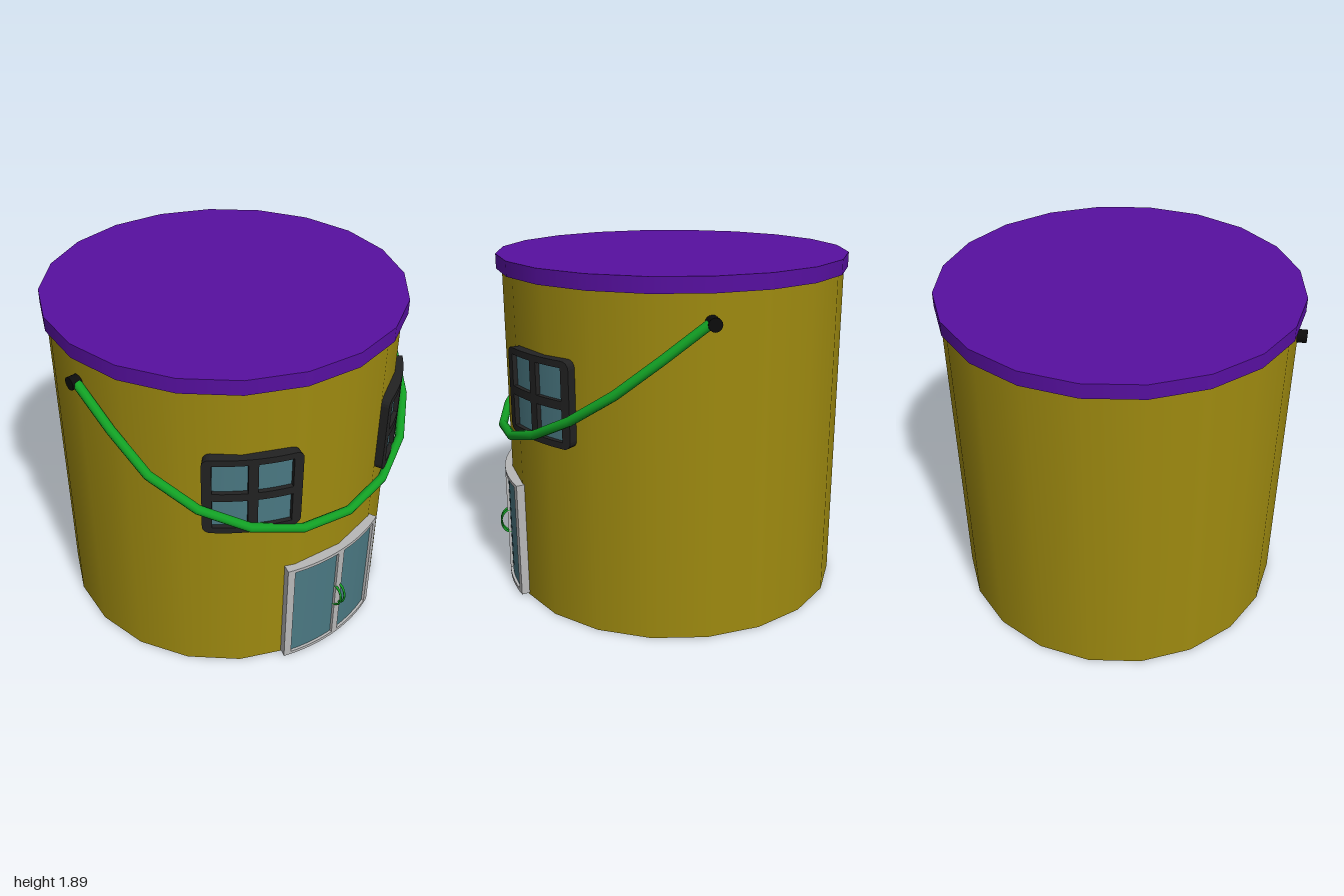
import * as THREE from 'three';

const R = 0.985; // outer radius of the curved frames
const mat = (color, side = THREE.FrontSide) => new THREE.MeshStandardMaterial({ color, side });
const wallMat = mat(0x9e8a10), lidMat = mat(0x5710a0), greenMat = mat(0x12a024);
const darkMat = mat(0x222222), glassMat = mat(0x4a7882), doorMat = mat(0xb8b8b8);

function add(parent, name, geometry, material, x = 0, y = 0, z = 0) {
  const mesh = new THREE.Mesh(geometry, material);
  mesh.name = name;
  mesh.position.set(x, y, z);
  parent.add(mesh);
  return mesh;
}

// Wraps a flat panel around the wall: x becomes arc length, z is the offset from R.
function bend(geometry, angle) {
  const p = geometry.attributes.position;
  for (let i = 0; i < p.count; i++) {
    const a = angle + p.getX(i) / R, r = R + p.getZ(i);
    p.setXYZ(i, r * Math.sin(a), p.getY(i), r * Math.cos(a));
  }
  geometry.computeVertexNormals();
  return geometry;
}

// Curved bar between arc positions x0..x1, heights y0..y1 and depths z0..z1.
function bar(x0, x1, y0, y1, z0, z1, angle) {
  const steps = Math.max(1, Math.ceil((x1 - x0) / 0.05));
  const g = new THREE.BoxGeometry(x1 - x0, y1 - y0, z1 - z0, steps, 1, 1);
  g.translate((x0 + x1) / 2, (y0 + y1) / 2, (z0 + z1) / 2);
  return bend(g, angle);
}

// Side post whose two outer corners are rounded; side is -1 or 1.
function roundedPost(side, half, width, y0, y1, angle) {
  const inner = half - width, r = 0.04, pts = [[inner, y0]];
  for (let i = 0; i <= 4; i++) {
    const a = (i / 4) * Math.PI / 2;
    pts.push([half - r + r * Math.sin(a), y0 + r - r * Math.cos(a)]);
  }
  for (let i = 0; i <= 4; i++) {
    const a = (i / 4) * Math.PI / 2;
    pts.push([half - r + r * Math.cos(a), y1 - r + r * Math.sin(a)]);
  }
  pts.push([inner, y1]);
  const shape = new THREE.Shape(pts.map(([x, y]) => new THREE.Vector2(side * x, y)));
  const g = new THREE.ExtrudeGeometry(shape, { depth: 0.06, bevelEnabled: false });
  g.translate(0, 0, -0.06);
  return bend(g, angle);
}

function makeWindow(name, angle) {
  const w = new THREE.Group();
  w.name = name;
  const half = 0.253, post = 0.05, y0 = 1.0, y1 = 1.455, mid = 0.025;
  for (const s of [-1, 1]) {
    add(w, 'windowSidePost', roundedPost(s, half, post, y0, y1, angle), darkMat);
  }
  for (const [a, b] of [[y0, y0 + 0.035], [1.205, 1.25], [y1 - 0.035, y1]]) {
    add(w, 'windowRail', bar(-half + post, half - post, a, b, -0.06, 0, angle), darkMat);
  }
  for (const [a, b] of [[y0 + 0.035, 1.205], [1.25, y1 - 0.035]]) {
    add(w, 'windowMullion', bar(-mid, mid, a, b, -0.06, 0, angle), darkMat);
  }
  add(w, 'windowGlass', bar(-half + 0.03, half - 0.03, y0 + 0.02, y1 - 0.02, -0.05, -0.025, angle), glassMat);
  return w;
}

function makeDoor() {
  const d = new THREE.Group();
  d.name = 'doubleDoor';
  const half = 0.347, y0 = 0.01, y1 = 0.67, angle = -0.02;
  for (const [a, b] of [[-half, -half + 0.042], [-0.021, 0.021], [half - 0.042, half]]) {
    add(d, 'doorPost', bar(a, b, y0, y1, -0.06, 0, angle), doorMat);
  }
  for (const s of [-1, 1]) {
    const a = s < 0 ? -half + 0.042 : 0.021, b = s < 0 ? -0.021 : half - 0.042;
    add(d, 'doorBottomRail', bar(a, b, y0, y0 + 0.02, -0.06, 0, angle), doorMat);
    add(d, 'doorTopRail', bar(a, b, y1 - 0.02, y1, -0.06, 0, angle), doorMat);
    add(d, 'doorGlass', bar(a, b, y0 + 0.02, y1 - 0.02, -0.05, -0.015, angle), glassMat);
    // bowed pull handle
    const pull = new THREE.TorusGeometry(0.07, 0.007, 8, 16, Math.PI);
    pull.rotateZ(-Math.PI / 2).rotateY(-Math.PI / 2).scale(1, 1, 0.75);
    add(d, 'doorPull', pull, greenMat, -0.02 + s * 0.015, 0.325, 0.97);
  }
  return d;
}

// Straight-segment path through evenly indexed points, so tube rings land on the corners.
class Polyline extends THREE.Curve {
  constructor(points) { super(); this.points = points; }
  getUtoTmapping(u) { return u; }
  getPoint(t, target = new THREE.Vector3()) {
    const n = this.points.length - 1, i = Math.min(Math.floor(t * n + 1e-9), n - 1);
    return target.lerpVectors(this.points[i], this.points[i + 1], t * n - i);
  }
}

function makeBail() {
  const half = [[0.97, 1.67], [0.945, 1.5], [0.9, 1.33], [0.765, 1.17], [0.565, 1.045], [0.3, 0.96]];
  const all = [...half.map(([x, y]) => [-x, y]), [0, 0.93], ...half.map(([x, y]) => [x, y]).reverse()];
  const pts = all.map(([x, y]) => new THREE.Vector3(x, y, (1.67 - y) * 1.3 - 0.005));
  return new THREE.TubeGeometry(new Polyline(pts), pts.length - 1, 0.025, 10, false);
}

export function createModel() {
  const model = new THREE.Group();
  model.name = 'bucketHouse';

  // wall, lid, windows and door share the bucket's axis
  const house = new THREE.Group();
  house.name = 'house';
  house.position.set(-0.01, 0, -0.025);
  model.add(house);
  add(house, 'wall', new THREE.CylinderGeometry(0.942, 0.942, 1.83, 20), wallMat, 0, 0.915, 0);
  add(house, 'lid', new THREE.CylinderGeometry(0.968, 0.968, 0.08, 20), lidMat, 0, 1.85, 0.005);
  house.add(makeWindow('leftWindow', 0.575), makeWindow('rightWindow', -0.575), makeDoor());

  // carrying handle and its pivots
  add(model, 'carryHandle', makeBail(), mat(0x12a024, THREE.DoubleSide));
  for (const s of [-1, 1]) {
    const knob = new THREE.CylinderGeometry(0.035, 0.035, 0.1, 16).rotateZ(Math.PI / 2);
    add(model, s > 0 ? 'leftPivot' : 'rightPivot', knob, mat(0x0c0c0c), s * 0.95, 1.67, -0.025);
  }
  return model;
}
